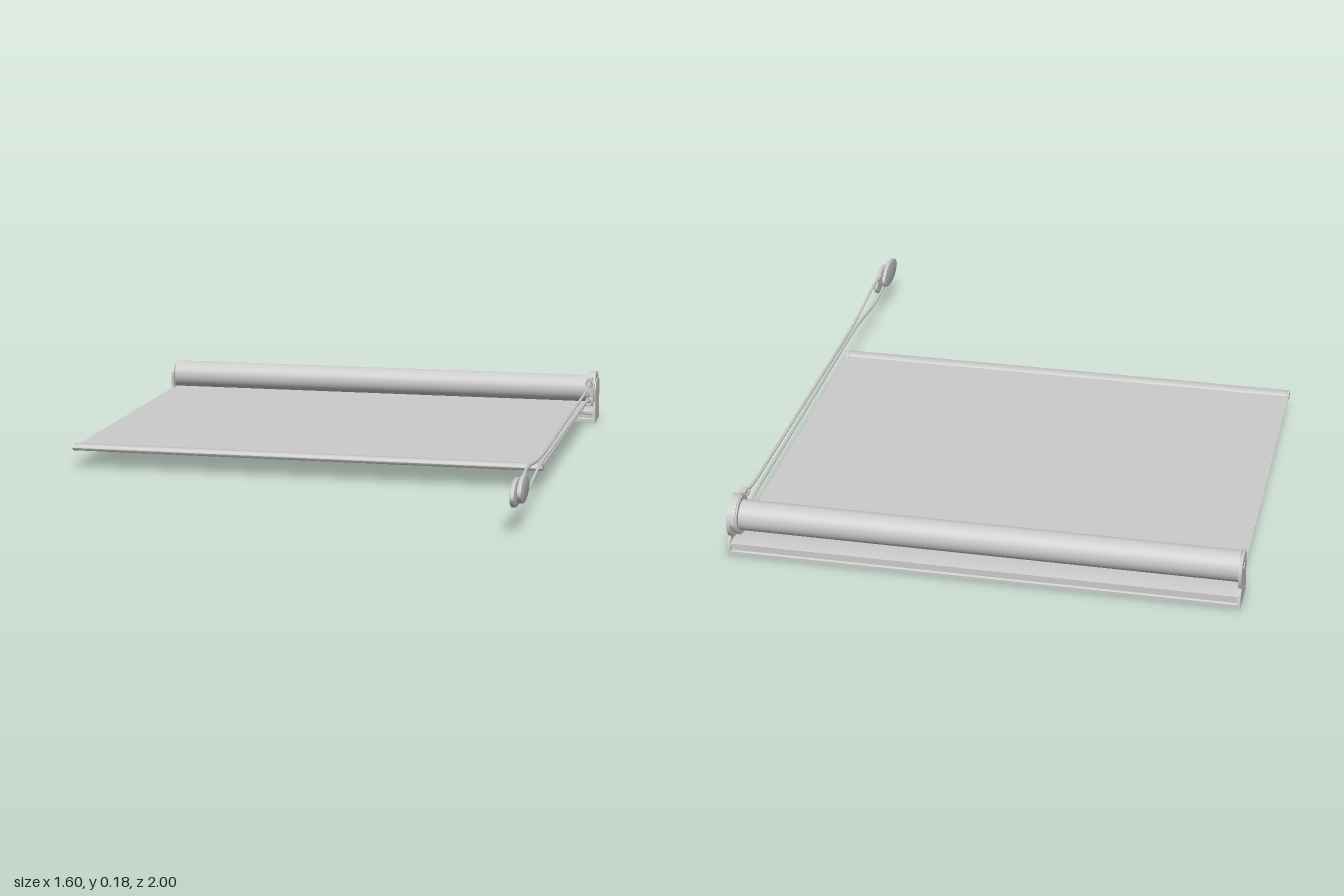
import * as THREE from 'three';
import { toCreasedNormals } from 'three/addons/utils/BufferGeometryUtils.js';

export function createModel() {
  const model = new THREE.Group();
  const grey = new THREE.MeshStandardMaterial({ color: 0xcccccc });

  const add = (name, geometry, x = 0, y = 0, z = 0) => {
    const mesh = new THREE.Mesh(geometry, grey);
    mesh.name = name;
    mesh.position.set(x, y, z);
    model.add(mesh);
    return mesh;
  };

  // Extrudes a side profile of [z, y] points along x, from x0 to x1
  const outline = (pts) => new THREE.Shape(pts.map(([z, y]) => new THREE.Vector2(-z, y)));
  const profile = (name, shape, x0, x1, bevel = 0) => {
    const geo = new THREE.ExtrudeGeometry(shape, {
      depth: x1 - x0 - 2 * bevel, curveSegments: 32, bevelEnabled: bevel > 0,
      bevelSize: bevel, bevelThickness: bevel, bevelOffset: -bevel, bevelSegments: 2,
    });
    geo.translate(0, 0, x0 + bevel).rotateY(Math.PI / 2);
    return add(name, toCreasedNormals(geo, 0.6));
  };
  const cylinderX = (name, r, x0, x1, y, z) =>
    add(name, new THREE.CylinderGeometry(r, r, x1 - x0, 48).rotateZ(Math.PI / 2), (x0 + x1) / 2, y, z);
  const ellipse = (z, y, rz, ry) => new THREE.Shape().absellipse(-z, y, rz, ry, 0, Math.PI * 2);

  const axisY = 0.117, axisZ = -0.932;

  // Rolled fabric, unrolled sheet and bottom bar
  cylinderX('fabricRoll', 0.048, -0.79, 0.768, axisY, axisZ);
  add('fabricSheet', new THREE.BoxGeometry(1.563, 0.003, 1.23), -0.0135, 0.07, -0.315);
  const bar = new THREE.Shape();
  bar.absarc(-0.289, 0.07, 0.01, -Math.PI / 2, Math.PI / 2);
  bar.absarc(-0.315, 0.07, 0.01, Math.PI / 2, Math.PI * 1.5);
  profile('bottomBar', bar, -0.787, 0.76);
  for (const [a, b] of [[-0.796, -0.787], [0.76, 0.77]]) {
    profile('bottomBarCap', ellipse(0.302, 0.07, 0.025, 0.012), a, b, 0.002);
  }

  // Mounting rail: grooved sides, with a channel open underneath
  profile('mountingRail', outline([
    [-0.988, 0.003], [-0.965, 0.003], [-0.965, 0.012], [-0.975, 0.012], [-0.975, 0.024],
    [-0.885, 0.024], [-0.885, 0.012], [-0.895, 0.012], [-0.895, 0.003], [-0.872, 0.003],
    [-0.872, 0.014], [-0.878, 0.017], [-0.878, 0.03], [-0.872, 0.033], [-0.872, 0.042],
    [-0.89, 0.046], [-0.97, 0.046], [-0.988, 0.042], [-0.988, 0.033], [-0.982, 0.03],
    [-0.982, 0.017], [-0.988, 0.014],
  ]), -0.79, 0.79);

  // End brackets
  const bracket = () => outline([
    [-0.99, 0], [-0.866, 0], [-0.866, 0.045], [-0.876, 0.07], [-0.872, 0.09], [-0.872, 0.128],
    [-0.886, 0.148], [-0.905, 0.156], [-0.959, 0.156], [-0.977, 0.148], [-0.988, 0.128],
    [-0.988, 0.09], [-0.976, 0.065], [-0.99, 0.04],
  ]);
  profile('leftBracket', bracket(), -0.8, -0.79);
  profile('rightBracket', bracket(), 0.79, 0.8);
  cylinderX('leftPin', 0.014, -0.802, -0.78, axisY, axisZ);

  // Chain drive: two rims with a wheel between them
  cylinderX('innerDriveRim', 0.062, 0.764, 0.77, axisY, axisZ);
  cylinderX('driveWheel', 0.054, 0.77, 0.786, axisY, axisZ);
  cylinderX('outerDriveRim', 0.0675, 0.786, 0.796, 0.114, axisZ);
  const guard = new THREE.Shape();
  guard.absarc(-axisZ, 0.114, 0.0675, 0, Math.PI);
  guard.absarc(-axisZ, 0.114, 0.06, Math.PI, 0, true);
  profile('driveGuard', guard, 0.769, 0.79);

  // Guides where the chain leaves the drive
  for (const y of [0.15, 0.082]) {
    const ring = add('chainGuide', new THREE.TorusGeometry(0.011, 0.004, 8, 20), 0.779, y, -0.848);
    ring.scale.z = 1.8;
    add('chainGuideArm', new THREE.BoxGeometry(0.018, 0.007, 0.04), 0.779, y + (y > axisY ? 0.013 : -0.013), -0.862);
  }
  add('chainGuideBridge', new THREE.BoxGeometry(0.012, 0.09, 0.006), 0.787, 0.116, -0.856);

  // Endless chain: upper strand out, round the weight, lower strand back, round the wheel
  const upper = [[-0.93, 0.168], [-0.88, 0.157], [-0.84, 0.147], [-0.77, 0.137], [-0.5, 0.133], [0, 0.129],
    [0.38, 0.127], [0.5, 0.132], [0.6, 0.142], [0.7, 0.152], [0.77, 0.149], [0.84, 0.138]];
  const lower = upper.map(([z, y]) => [z, 0.232 - y]).reverse();
  const path = [...upper, [0.87, 0.116], ...lower, [-0.968, 0.078], [-0.984, 0.116], [-0.968, 0.154]];
  const curve = new THREE.CatmullRomCurve3(
    path.map(([z, y]) => new THREE.Vector3(0.779, y, z)), true, 'centripetal');
  add('pullChain', new THREE.TubeGeometry(curve, 320, 0.005, 8, true));

  // Chain weight: two overlapping oval plates
  profile('weightOuterPlate', ellipse(0.852, 0.116, 0.09, 0.042), 0.78, 0.793, 0.003);
  profile('weightInnerPlate', ellipse(0.912, 0.116, 0.088, 0.042), 0.767, 0.78, 0.003);

  return model;
}
